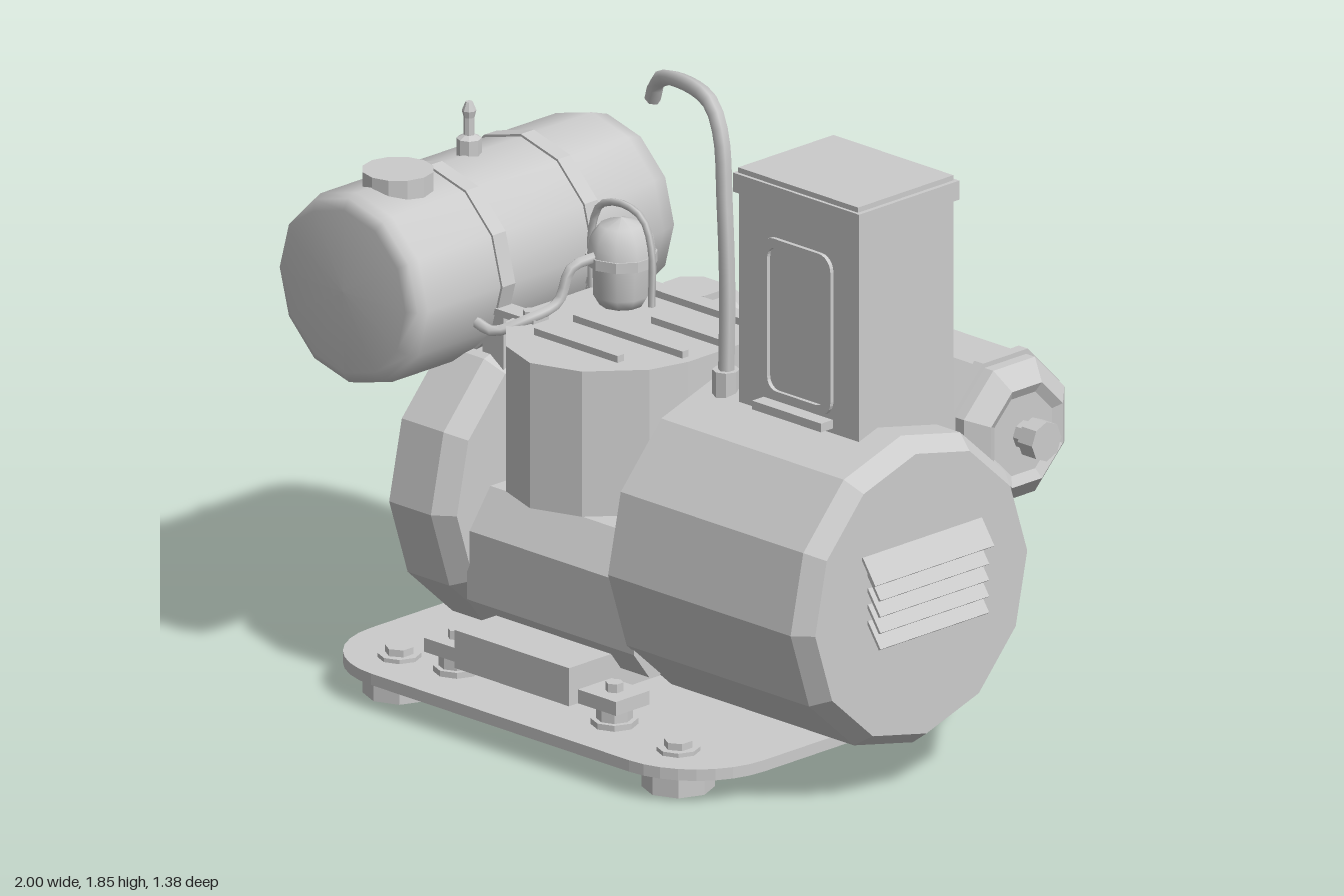
import * as THREE from 'three';
import { mergeVertices } from 'three/addons/utils/BufferGeometryUtils.js';

const V = (a) => new THREE.Vector3(...a);
const flat = new THREE.MeshStandardMaterial({ color: 0xcccccc, flatShading: true });
const smooth = new THREE.MeshStandardMaterial({ color: 0xcccccc });
const thin = new THREE.MeshStandardMaterial({ color: 0xcccccc, flatShading: true, side: THREE.DoubleSide });

export function createModel() {
  const root = new THREE.Group();
  const add = (name, geo, pos = [0, 0, 0], mat = flat, parent = root) => {
    const m = new THREE.Mesh(geo, mat);
    m.name = name;
    m.position.set(...pos);
    parent.add(m);
    return m;
  };
  // box given by its min and max on each axis
  const box = (name, x0, x1, y0, y1, z0, z1) =>
    add(name, new THREE.BoxGeometry(x1 - x0, y1 - y0, z1 - z0), [(x0 + x1) / 2, (y0 + y1) / 2, (z0 + z1) / 2]);
  const cyl = (name, r, y0, y1, x, z, n = 8) =>
    add(name, new THREE.CylinderGeometry(r, r, y1 - y0, n), [x, (y0 + y1) / 2, z]);
  // turned profile of [radius, height] pairs
  const lathe = (pts, n) => new THREE.LatheGeometry(pts.map((p) => new THREE.Vector2(...p)), n);
  const alongX = (pts, n) => lathe(pts, n).rotateZ(-Math.PI / 2);
  const tube = (name, pts, r, n = 6, seg = 20, parent = root) => {
    const c = new THREE.CatmullRomCurve3(pts.map(V), false, 'centripetal');
    const m = add(name, new THREE.TubeGeometry(c, seg, r, n), [0, 0, 0], smooth, parent);
    for (const t of [0, 1]) {
      const cap = add(name + 'End', new THREE.CircleGeometry(r, n), [0, 0, 0], thin, parent);
      cap.position.copy(c.getPoint(t));
      cap.quaternion.setFromUnitVectors(new THREE.Vector3(0, 0, 1), c.getTangent(t));
    }
    return m;
  };
  const poly = (pts) => new THREE.Shape(pts.map((p) => new THREE.Vector2(...p)));
  const roundRect = (C, w, h, r) => {
    const s = new C(), a = w / 2 - r, b = h / 2 - r;
    s.absarc(a, b, r, 0, Math.PI / 2);
    s.absarc(-a, b, r, Math.PI / 2, Math.PI);
    s.absarc(-a, -b, r, Math.PI, Math.PI * 1.5);
    s.absarc(a, -b, r, Math.PI * 1.5, Math.PI * 2);
    s.closePath();
    return s;
  };
  // extrusion of an (x, z) outline upward
  const slab = (shape, h, opt = {}) =>
    new THREE.ExtrudeGeometry(shape, { depth: h, bevelEnabled: false, curveSegments: 4, ...opt })
      .rotateX(Math.PI / 2).translate(0, h, 0);
  // extrusion of a (z, y) outline along x
  const sideExtrude = (pts, x0, x1) =>
    new THREE.ExtrudeGeometry(poly(pts.map(([z, y]) => [-z, y])), { depth: x1 - x0, bevelEnabled: false })
      .rotateY(Math.PI / 2).translate(x0, 0, 0);

  // base plate with feet and bolts
  add('basePlate', slab(roundRect(THREE.Shape, 1.51, 1.17, 0.26), 0.033), [-0.095, 0.07, 0.115]);
  for (const x of [-0.63, 0.44]) for (const z of [0.55, -0.33]) {
    cyl('foot', 0.1, 0, 0.07, x, z);
    cyl('footWasher', 0.06, 0.1, 0.115, x, z);
    cyl('footBolt', 0.04, 0.115, 0.135, x, z, 6);
  }

  // engine cradle on four rubber mounts
  box('cradle', -0.35, 0.09, 0.16, 0.27, -0.38, 0.62);
  for (const z of [0.52, -0.29]) {
    box('mountBar', -0.5, 0.235, 0.16, 0.2, z - 0.065, z + 0.065);
    for (const x of [-0.44, 0.165]) {
      cyl('mountRubber', 0.05, 0.1, 0.16, x, z);
      cyl('mountFlange', 0.065, 0.1, 0.12, x, z);
      cyl('mountBolt', 0.025, 0.2, 0.225, x, z, 6);
    }
  }

  // crankcase and cylinder neck
  add('crankcase', sideExtrude([[-0.2, 0.22], [0.42, 0.22], [0.48, 0.3], [0.48, 0.5], [0.4, 0.61], [-0.18, 0.61], [-0.28, 0.5], [-0.28, 0.3]], -0.44, 0.2));
  add('cylinderNeck', new THREE.CylinderGeometry(0.18, 0.18, 0.07, 12), [-0.09, 0.64, 0.12]);

  // generator drum and flywheel housing
  const drum = alongX([[0, 0.19], [0.45, 0.19], [0.45, 0.89], [0.41, 0.945], [0, 0.945]], 12).rotateX(0.05);
  add('generatorDrum', drum, [0, 0.575, 0.12]);
  const wheel = alongX([[0, -0.65], [0.45, -0.65], [0.45, -0.49], [0.41, -0.43], [0, -0.43]], 12).rotateX(0.05);
  add('flywheelHousing', wheel, [0, 0.575, 0.12]);

  // cooling louvres on the drum end
  for (let i = 0; i < 5; i++) {
    const w = i ? 0.42 : 0.46, y = 0.735 - i * 0.047;
    const s = add('louvre', new THREE.BoxGeometry(0.008, 0.085, w), [0.968, y - 0.035, 0.118]);
    s.rotation.z = 0.6;
  }

  // cylinder shroud with rounded front and sloping back
  add('shroud', slab(poly([[-0.42, -0.14], [0.19, -0.14], [0.19, 0.26], [0.16, 0.38], [0.04, 0.52], [-0.11, 0.57],
    [-0.25, 0.52], [-0.39, 0.38], [-0.42, 0.26]]), 0.42), [0, 0.67, 0]);
  add('shroudBack', sideExtrude([[-0.14, 0.67], [-0.14, 1.09], [-0.38, 0.78], [-0.38, 0.67]], -0.31, 0.19));
  [[-0.06, -0.3, 0.16], [0.1, -0.1, 0.16], [0.24, -0.26, 0.16], [0.39, -0.26, 0.06]].forEach(([z, a, b]) =>
    box('shroudRib', a, b, 1.085, 1.11, z - 0.012, z + 0.012));

  // fuel tank with straps, cap and valve
  const tank = mergeVertices(lathe([[0, -0.425], [0.12, -0.415], [0.2, -0.39], [0.255, -0.35], [0.275, -0.29],
    [0.275, 0.62], [0.265, 0.65], [0.235, 0.668], [0, 0.672]], 12).rotateX(Math.PI / 2));
  tank.computeVertexNormals();
  add('fuelTank', tank, [-0.725, 1.165, 0], smooth);
  for (const z of [-0.04, 0.315]) {
    const band = lathe([[0.27, -0.025], [0.282, -0.025], [0.282, 0.025], [0.27, 0.025]], 12).rotateX(Math.PI / 2);
    add('tankStrap', band, [-0.725, 1.165, z]);
    box('strapTab', -0.5, -0.32, 1.08, 1.1, z - 0.03, z + 0.03);
    box('tankBracket', -0.52, -0.44, 0.88, 1.09, z - 0.025, z + 0.025);
    cyl('strapBolt', 0.022, 1.1, 1.115, -0.36, z, 6);
  }
  cyl('fuelCap', 0.1, 1.41, 1.47, -0.72, 0.465, 12);
  add('tankValve', lathe([[0.035, 1.42], [0.035, 1.48], [0.015, 1.49], [0.015, 1.54], [0.02, 1.56], [0.01, 1.585], [0, 1.585]], 8), [-0.74, 0, 0.17]);

  // control cabinet with lid, framed door and ledge
  box('cabinet', 0.34, 0.8, 0.9, 1.61, -0.15, 0.215);
  box('cabinetLid', 0.33, 0.813, 1.61, 1.665, -0.16, 0.228);
  box('lidTop', 0.34, 0.8, 1.665, 1.68, -0.15, 0.218);
  const frame = roundRect(THREE.Shape, 0.265, 0.465, 0.045);
  frame.holes.push(roundRect(THREE.Path, 0.22, 0.415, 0.035));
  add('doorFrame', new THREE.ExtrudeGeometry(frame, { depth: 0.012, bevelEnabled: false, curveSegments: 3 }), [0.57, 1.28, 0.215]);
  box('doorLedge', 0.435, 0.7, 1.015, 1.04, 0.21, 0.26);

  // hooked stack pipe
  tube('stackPipe', [[0.265, 1.0, 0.19], [0.27, 1.3, 0.19], [0.26, 1.55, 0.19], [0.235, 1.74, 0.18], [0.18, 1.815, 0.165],
    [-0.02, 1.815, 0.1], [-0.12, 1.775, 0.065], [-0.155, 1.71, 0.05]], 0.023, 6, 28);
  cyl('stackSocket', 0.038, 0.98, 1.07, 0.265, 0.19);

  // glass bowl with collar and bail wire
  const bowl = (name, pos, tilt) => {
    const g = new THREE.Group();
    g.name = name;
    g.position.set(...pos);
    g.rotation.x = tilt;
    add('bowlBody', lathe([[0, 0], [0.06, 0], [0.078, 0.03], [0.08, 0.13]], 10), [0, 0, 0], smooth, g);
    add('bowlCollar', lathe([[0, 0.12], [0.1, 0.12], [0.1, 0.15], [0, 0.15]], 10), [0, 0, 0], flat, g);
    add('bowlDome', lathe([[0.095, 0.15], [0.088, 0.195], [0.06, 0.23], [0, 0.25]], 10), [0, 0, 0], smooth, g);
    tube('bailWire', [[-0.115, 0.02, 0], [-0.115, 0.18, 0], [-0.08, 0.265, 0], [0, 0.29, 0], [0.08, 0.265, 0],
      [0.115, 0.18, 0], [0.115, 0.02, 0]], 0.011, 5, 20, g);
    root.add(g);
  };
  bowl('fuelBowl', [-0.27, 1.09, 0.055], 0);
  bowl('carburettorBowl', [-0.02, 0.66, -0.45], -0.85);
  tube('fuelLine', [[-0.29, 1.24, 0.13], [-0.31, 1.22, 0.21], [-0.32, 1.13, 0.25], [-0.34, 1.1, 0.35], [-0.4, 1.07, 0.42], [-0.46, 1.08, 0.42]], 0.016, 6, 16);
  box('carburettor', -0.13, 0.09, 0.56, 0.7, -0.5, -0.27);

  // muffler with bands, outlet and pipes
  add('muffler', alongX([[0, 0.18], [0.16, 0.18], [0.21, 0.22], [0.21, 0.74], [0.15, 0.79], [0.12, 0.775], [0, 0.775]], 8).rotateX(Math.PI / 8), [0, 0.85, -0.445]);
  for (const x of [0.28, 0.69])
    add('mufflerBand', alongX([[0.2, x - 0.017], [0.225, x - 0.017], [0.225, x + 0.017], [0.2, x + 0.017]], 8).rotateX(Math.PI / 8), [0, 0.85, -0.445]);
  add('mufflerOutlet', alongX([[0, 0.76], [0.04, 0.76], [0.04, 0.81], [0.057, 0.81], [0.057, 0.865], [0, 0.865]], 8), [0, 0.85, -0.445]);
  tube('exhaustPipe', [[0.2, 0.86, -0.42], [0.11, 0.87, -0.4], [0.055, 0.9, -0.32], [0.04, 0.94, -0.16]], 0.048, 8, 12);
  tube('intakePipe', [[-0.15, 0.68, -0.38], [-0.15, 0.84, -0.37], [-0.15, 0.94, -0.31], [-0.15, 0.96, -0.18]], 0.043, 8, 12);

  // air cleaner and its elbow
  add('airCleaner', lathe([[0, 0.59], [0.05, 0.59], [0.06, 0.66], [0.11, 0.69], [0.115, 0.82], [0.155, 0.83], [0.155, 0.9],
    [0.12, 0.93], [0.085, 0.93], [0.085, 0.95], [0, 0.95]], 8).rotateY(Math.PI / 8), [-0.505, 0, -0.455]);
  tube('airElbow', [[-0.5, 0.62, -0.455], [-0.5, 0.53, -0.455], [-0.46, 0.49, -0.44], [-0.3, 0.49, -0.41], [-0.23, 0.52, -0.4],
    [-0.19, 0.6, -0.38], [-0.1, 0.63, -0.36]], 0.035, 7, 22);
  return root;
}
